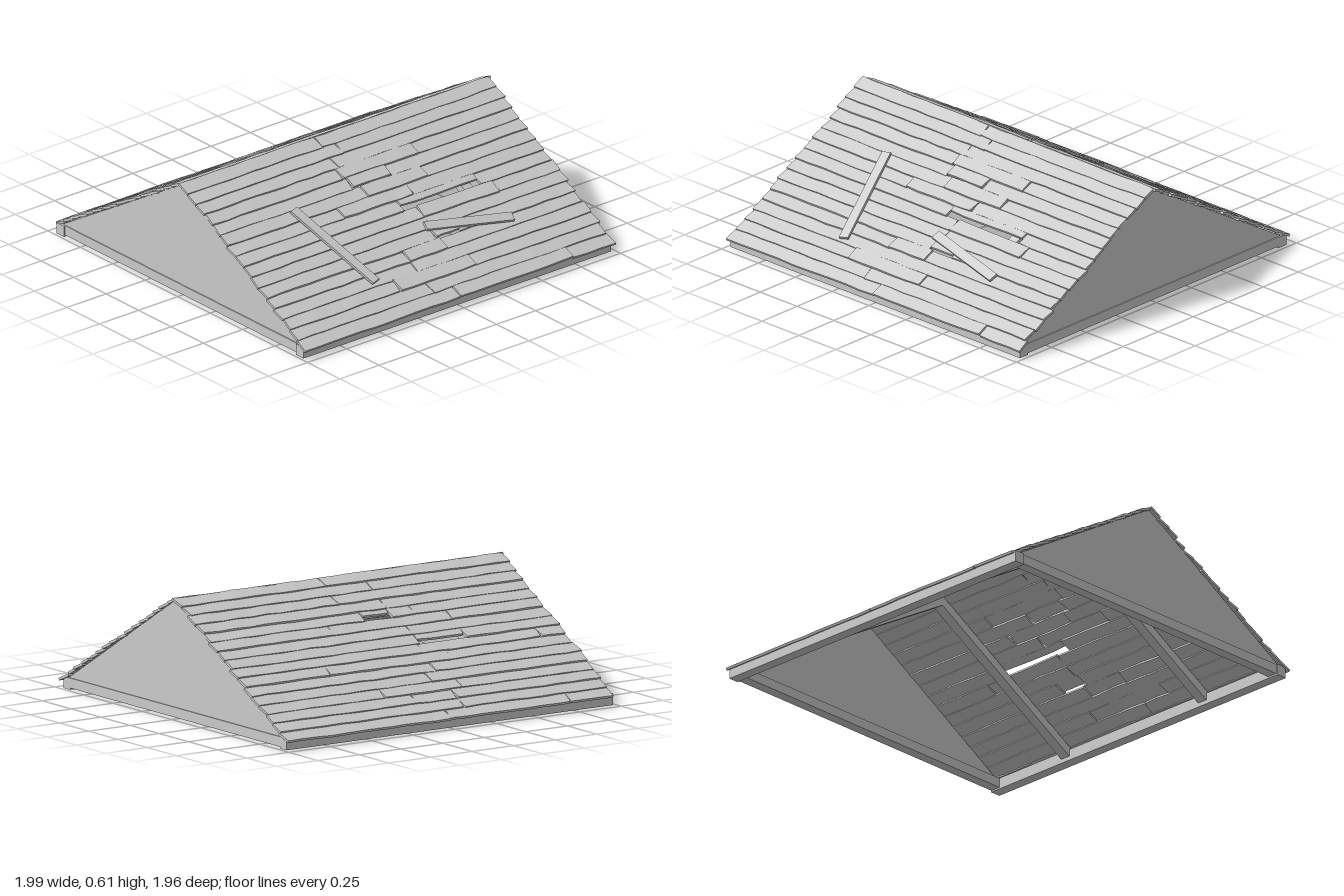
import * as THREE from 'three';

const HALF = 0.985;          // half length of the roof along x
const SLOPE = 0.527;         // pitch in radians
const ROWS = 16;
const PITCH = 1.118 / ROWS;  // row height down the slope

// Butt joints (x) of each row, from ridge to eave.
const FRONT_JOINTS = [
  [-0.13], [-0.05], [-0.13], [-0.15, 0.33], [-0.13, 0.11], [-0.09, 0.29], [-0.29, 0.15], [0.04, 0.53],
  [0.12, 0.6], [0.12], [0.1, 0.25], [-0.12, 0.12], [-0.12], [-0.28, 0.2], [-0.12], [0, 0.72],
];
const BACK_JOINTS = [
  [0.12], [-0.12], [0.13], [-0.12], [-0.25, -0.11, 0.05], [-0.43, 0.28], [-0.15], [-0.43, -0.15],
  [-0.84, -0.13], [-0.26, 0.47], [-0.12], [-0.05], [-0.19, 0.27], [-0.12, 0.12], [-0.12], [-0.72, 0],
];
// Split planks, keyed row:index, with the part of the row height that is left.
const FRONT_SPLIT = { '4:1': 0.88, '7:1': 0.55, '10:1': 0.85 };
const BACK_SPLIT = { '4:2': 0.5, '7:1': 0.6 };

export function createModel() {
  const model = new THREE.Group();
  const material = new THREE.MeshStandardMaterial({ color: 0xcccccc, flatShading: true });

  let seed = 11;
  const jitter = (amount) => {
    seed = (seed * 16807) % 2147483647;
    return (seed / 2147483647 * 2 - 1) * amount;
  };

  function add(parent, name, geometry, x = 0, y = 0, z = 0) {
    const mesh = new THREE.Mesh(geometry, material);
    mesh.name = name;
    mesh.position.set(x, y, z);
    parent.add(mesh);
    return mesh;
  }

  // Board with worn, uneven long edges and slightly ragged ends.
  function wornBoard(length, thickness, width) {
    const n = Math.max(3, Math.round(length / 0.09));
    const geometry = new THREE.BoxGeometry(length, thickness, width, n, 1, 1);
    const columns = Array.from({ length: n + 1 }, () => [jitter(0.003), jitter(0.003), jitter(0.0015)]);
    const slant = [jitter(0.006), jitter(0.006)];
    const p = geometry.attributes.position;
    for (let i = 0; i < p.count; i++) {
      const c = Math.round((p.getX(i) / length + 0.5) * n);
      const z = p.getZ(i);
      if (c === 0 || c === n) p.setX(i, p.getX(i) + Math.sign(z) * slant[c ? 1 : 0]);
      p.setZ(i, z + columns[c][z > 0 ? 0 : 1]);
      p.setY(i, p.getY(i) + columns[c][2]);
    }
    geometry.computeVertexNormals();
    return geometry;
  }

  // One slope: local z runs down from the ridge, local y points out of the roof.
  function slope(name, side, joints, splits) {
    const turn = new THREE.Group();
    turn.name = name;
    turn.rotation.y = side > 0 ? 0 : Math.PI;
    const plane = new THREE.Group();
    plane.position.y = 0.607;
    plane.rotation.x = SLOPE;
    turn.add(plane);
    model.add(turn);

    joints.forEach((row, r) => {
      const xs = [-HALF + jitter(0.008), ...row, HALF + jitter(0.008)];
      for (let i = 0; i < xs.length - 1; i++) {
        const width = (PITCH + 0.004) * (splits[`${r}:${i}`] ?? 1);
        const short = xs.length > 3 && i === 1;
        const lift = short && side > 0 ? 0.007 : 0;
        const board = add(plane, 'plank', wornBoard(xs[i + 1] - xs[i] - 0.003, 0.013, width),
          side * (xs[i] + xs[i + 1]) / 2, lift + jitter(0.002), r * PITCH + width / 2);
        board.rotation.x = -0.1 + jitter(0.03);
        board.rotation.y = short ? jitter(0.008) : 0;
      }
    });

    // Rafters under the planks
    for (const x of [-0.47, 0.47]) {
      add(plane, 'rafter', new THREE.BoxGeometry(0.055, 0.045, 1.07), x, -0.034, 0.545);
    }
    return plane;
  }

  const front = slope('frontSlope', 1, FRONT_JOINTS, FRONT_SPLIT);
  slope('backSlope', -1, BACK_JOINTS, BACK_SPLIT);

  // Loose repair boards lying across the front slope, given by x and z in plan
  for (const [x0, z0, x1, z1] of [[-0.525, 0.31, -0.38, 0.77], [0.08, 0.595, 0.56, 0.69]]) {
    const k = 1 / Math.cos(SLOPE);
    const dx = x1 - x0, dz = (z1 - z0) * k;
    const board = add(front, 'repairBoard', new THREE.BoxGeometry(Math.hypot(dx, dz), 0.014, 0.05),
      (x0 + x1) / 2, 0.02, (z0 + z1) / 2 * k);
    board.rotation.y = -Math.atan2(dz, dx);
  }

  // Gable wall outline, drawn with z across
  const outline = new THREE.Shape([
    [-0.9, 0.01], [0.9, 0.01], [0.94, 0.045], [0, 0.6], [-0.94, 0.045],
  ].map(([z, y]) => new THREE.Vector2(z, y)));
  const gable = new THREE.ExtrudeGeometry(outline, { depth: 0.02, bevelEnabled: false });
  gable.translate(0, 0, -0.01).rotateY(Math.PI / 2);

  for (const s of [-1, 1]) {
    add(model, 'gableWall', gable, s * 0.962);
    add(model, 'tieBeam', new THREE.BoxGeometry(0.055, 0.05, 1.8), s * 0.95, 0.033, 0);
    add(model, 'eaveBeam', new THREE.BoxGeometry(1.965, 0.058, 0.058), -0.003, 0.029, s * 0.923);
  }
  return model;
}
